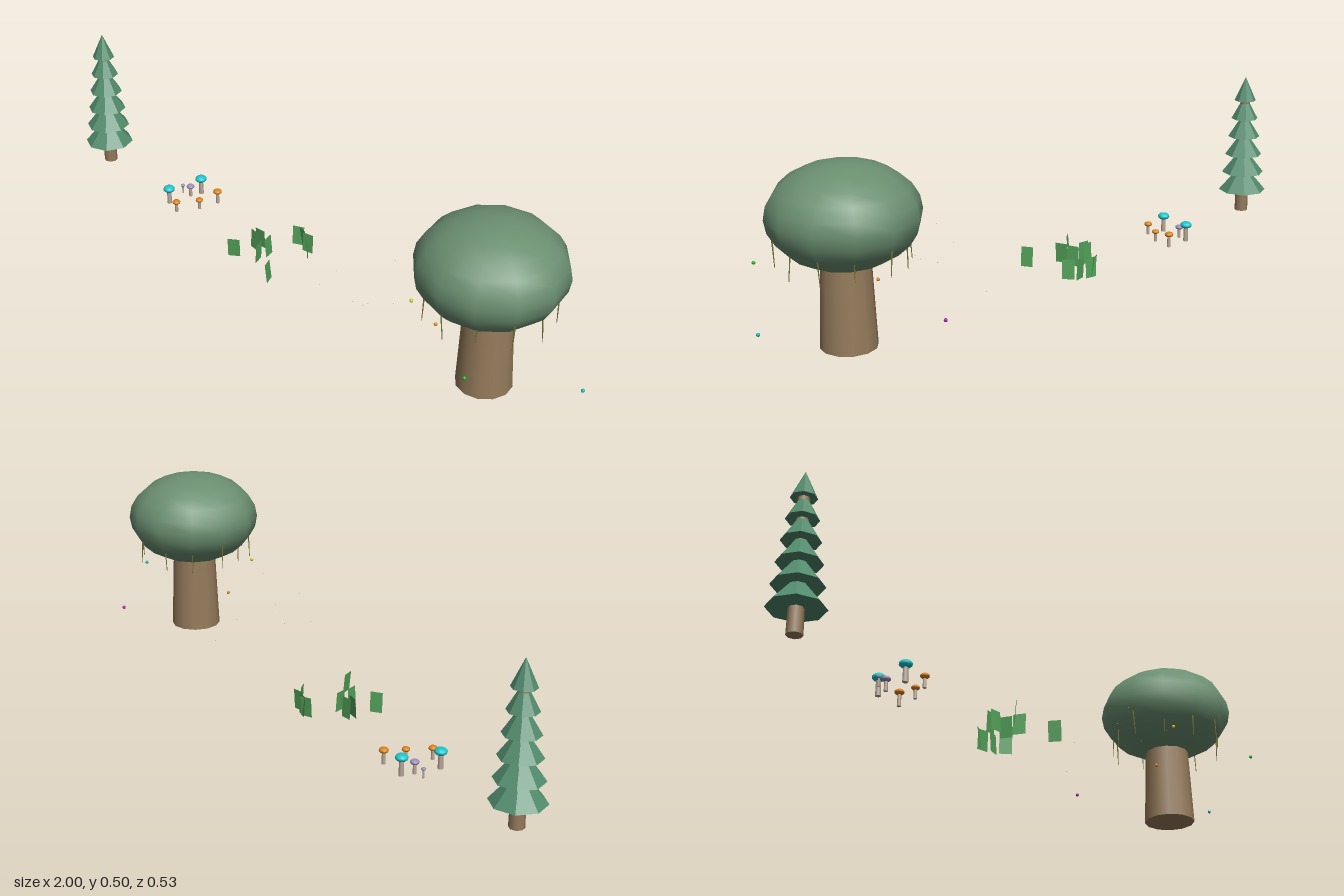
import * as THREE from 'three';

const mat = (color, extra = {}) => {
  const m = new THREE.MeshStandardMaterial({ color, ...extra });
  return m;
};

function add(parent, name, geometry, material, x = 0, y = 0, z = 0) {
  const mesh = new THREE.Mesh(geometry, material);
  mesh.name = name;
  mesh.position.set(x, y, z);
  parent.add(mesh);
  return mesh;
}

function group(parent, name, x = 0, z = 0) {
  const g = new THREE.Group();
  g.name = name;
  g.position.set(x, 0, z);
  parent.add(g);
  return g;
}

// Broad tree with a squashed canopy and a ring of hanging vines
function buildBroadTree(parent, bark) {
  const tree = group(parent, 'broadTree', 0.7, 0.03);
  add(tree, 'trunk', new THREE.CylinderGeometry(0.063, 0.076, 0.3, 12), bark, 0, 0.153, 0);
  const canopy = add(tree, 'canopy', new THREE.SphereGeometry(0.202, 12, 12), mat(0x6b8f71), 0, 0.361, 0);
  canopy.scale.y = 0.688;
  const vineMat = mat(0x7d7d38);
  for (let i = 0; i < 12; i++) {
    const a = (i / 12) * Math.PI * 2;
    const r = 0.172 + 0.012 * Math.sin(i * 2.3);
    const len = 0.085 + 0.015 * Math.cos(i * 1.7);
    const vine = add(tree, 'vine', new THREE.CylinderGeometry(0.0025, 0.001, len, 5), vineMat,
      r * Math.cos(a), 0.275, r * Math.sin(a));
    vine.rotation.set(0.1 * Math.sin(i * 3.1), 0, 0.1 * Math.cos(i * 2.1));
  }
}

// Conifer with six stacked eight-sided tiers
function buildConifer(parent, bark) {
  const tree = group(parent, 'conifer', -0.926, 0.028);
  add(tree, 'trunk', new THREE.CylinderGeometry(0.015, 0.021, 0.385, 8), bark, 0, 0.1925, 0);
  const needles = mat(0x518a6c, { flatShading: true });
  for (let i = 0; i < 6; i++) {
    const h = 0.088 - i * 0.0025;
    add(tree, 'tier', new THREE.ConeGeometry(0.075 - i * 0.0082, h, 8), needles, 0, 0.07 + i * 0.06 + h / 2, 0);
  }
}

// Mushrooms: x, z, cap radius, cap centre height, cap colour
function buildMushrooms(parent) {
  const patch = group(parent, 'mushrooms');
  const stemMat = mat(0xb8a898);
  const list = [
    [-0.553, -0.048, 0.018, 0.052, 0x1cc4cc], [-0.575, 0.062, 0.018, 0.05, 0x1cc4cc],
    [-0.473, -0.048, 0.0135, 0.04, 0xd9831c], [-0.484, 0.016, 0.0115, 0.031, 0xd9831c],
    [-0.52, 0.078, 0.0125, 0.033, 0xd9831c], [-0.563, -0.013, 0.0125, 0.034, 0x9a8fb8],
    [-0.595, -0.008, 0.007, 0.026, 0x9a8fb8],
  ];
  for (const [x, z, r, y, color] of list) {
    const m = group(patch, 'mushroom', x, z);
    add(m, 'stem', new THREE.CylinderGeometry(r * 0.35, r * 0.42, y, 8), stemMat, 0, y / 2, 0);
    const cap = add(m, 'cap', new THREE.SphereGeometry(r, 12, 8), mat(color), 0, y, 0);
    cap.scale.y = 0.6;
  }
}

// Upright grass panels: x, z, heading, lean
function buildGrass(parent) {
  const patch = group(parent, 'grass');
  const blade = new THREE.PlaneGeometry(0.036, 0.06);
  const bladeMat = mat(0x52a058, { side: THREE.DoubleSide });
  const list = [
    [-0.187, 0.025, 0.07, 0.06], [-0.19, 0.045, -0.1, -0.06],
    [-0.137, 0.038, -1.25, 0.08], [-0.133, 0.08, -1.2, -0.06],
    [-0.2, 0.118, 0.65, 0.08], [-0.037, 0.128, -1.1, 0.1],
    [-0.12, -0.066, 0.45, -0.08], [-0.104, -0.068, -0.2, 0.06],
    [-0.07, -0.058, 0.2, -0.06], [-0.046, -0.033, -0.8, 0.06],
  ];
  for (const [x, z, heading, lean] of list) {
    const b = add(patch, 'grassPanel', blade, bladeMat, x, 0.034, z);
    b.rotation.set(lean, heading, 0, 'YXZ');
  }
}

// Glowing flies round the broad tree, and drifting dust
function buildFlies(parent) {
  const swarm = group(parent, 'fireflies');
  const fly = new THREE.SphereGeometry(0.005, 10, 8);
  const list = [
    [0.825, 0.204, 0.258, 0x18b81c], [0.623, 0.135, -0.262, 0xb010b8], [0.993, 0.127, 0.004, 0x10b4b8],
    [0.545, 0.239, 0.152, 0xd0d010], [0.563, 0.137, 0.075, 0xd98a1c],
  ];
  for (const [x, y, z, color] of list) add(swarm, 'firefly', fly, mat(color), x, y, z);

  const dust = group(parent, 'dust');
  const speck = new THREE.SphereGeometry(0.0012, 6, 4);
  const dustMat = mat(0xcccccc);
  const specks = [
    [0.28, 0.205, 0.163], [0.31, 0.105, 0.128], [0.335, 0.088, -0.1], [0.49, 0.205, 0.16],
    [0.38, 0.14, 0.141], [0.216, 0.133, 0.165], [0.3, 0.155, -0.045], [0.36, 0.125, 0.14],
  ];
  for (const p of specks) add(dust, 'speck', speck, dustMat, ...p);
}

export function createModel() {
  const model = new THREE.Group();
  model.name = 'forestSet';
  const bark = mat(0x957b5b);
  buildBroadTree(model, bark);
  buildConifer(model, bark);
  buildMushrooms(model);
  buildGrass(model);
  buildFlies(model);
  return model;
}
